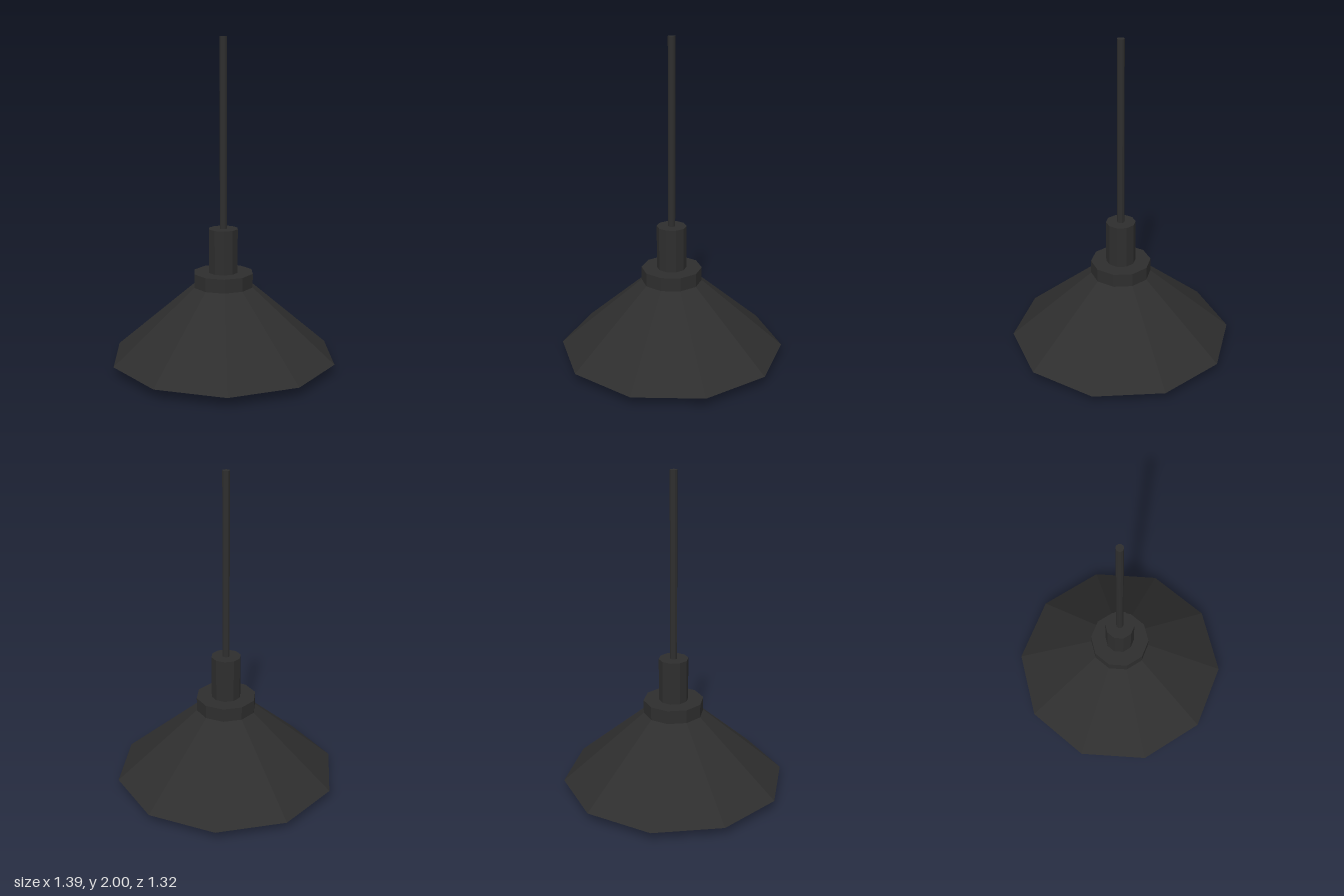
import * as THREE from 'three';

const SIDES = 10;

export function createModel() {
  const group = new THREE.Group();
  const darkMetal = new THREE.MeshStandardMaterial({ color: 0x2e2e2e, flatShading: true });
  darkMetal.name = 'darkMetal';
  const glass = new THREE.MeshStandardMaterial({ color: 0x8c8c80, flatShading: true });
  glass.name = 'bulbGlass';

  // Turned part from [radius, height] points; a corner of the decagon lies on +x
  const turned = (name, profile, material) => {
    const points = profile.map(([r, y]) => new THREE.Vector2(r, y));
    const mesh = new THREE.Mesh(new THREE.LatheGeometry(points, SIDES, Math.PI / 2), material);
    mesh.name = name;
    group.add(mesh);
  };
  const rod = (name, r, y0, y1, material) =>
    turned(name, [[0, y0], [r, y0], [r, y1], [0, y1]], material);

  // Hanging cord, stem and collar
  rod('cord', 0.022, 0.85, 2, darkMetal);
  rod('stem', 0.091, 0.58, 0.855, darkMetal);
  rod('collar', 0.186, 0.5, 0.585, darkMetal);

  // Hollow shade: inner wall, bottom rim, outer wall
  turned('shade', [[0, 0.475], [0.17, 0.475], [0.66, 0.06], [0.695, 0.06], [0.186, 0.5]], darkMetal);

  // Socket and bulb under the shade
  rod('socket', 0.065, 0.35, 0.48, darkMetal);
  turned('bulb', [[0, 0], [0.095, 0], [0.155, 0.065], [0.155, 0.18], [0.11, 0.25], [0.06, 0.36], [0, 0.36]], glass);

  return group;
}
